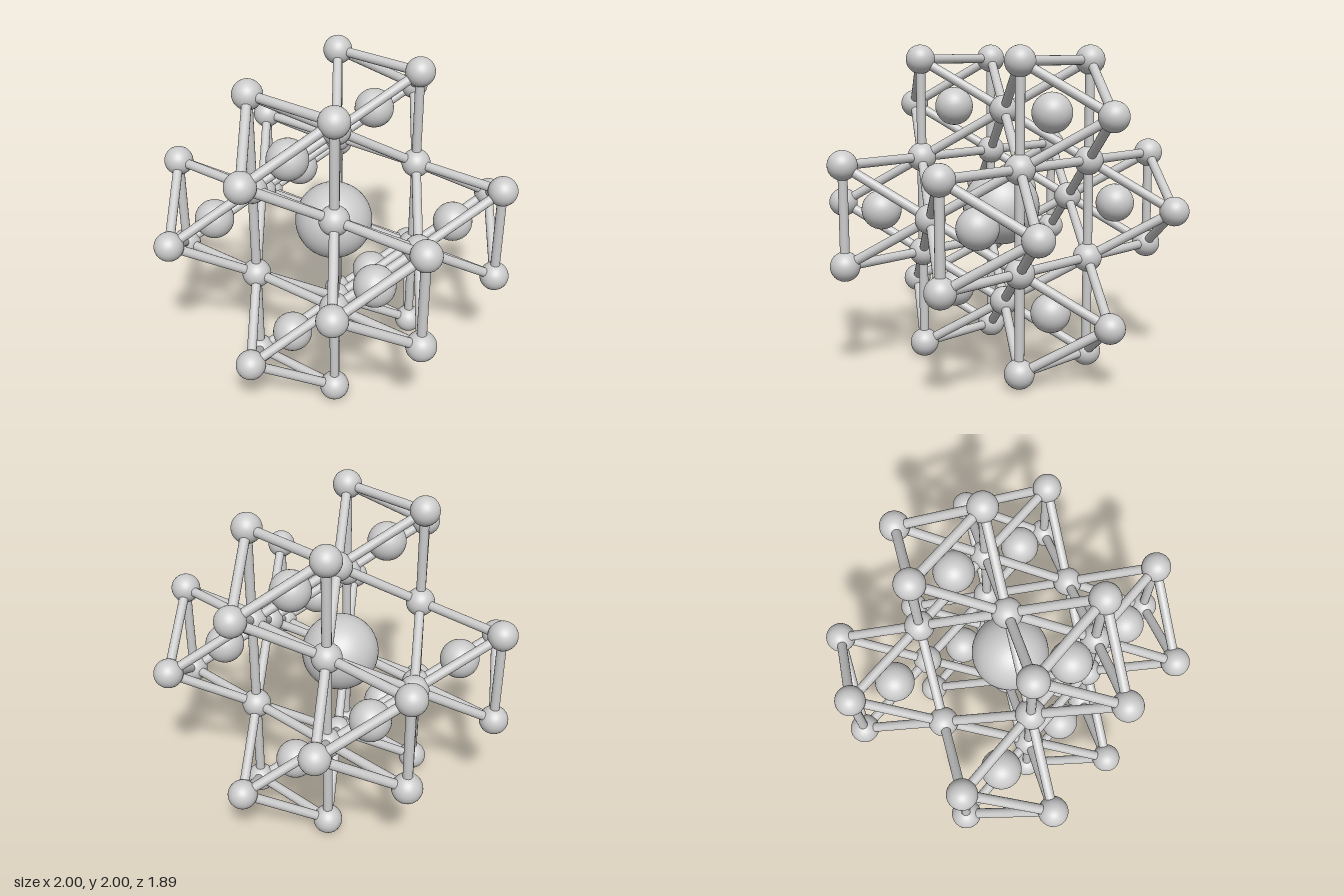
import * as THREE from 'three';

const H = 0.303;   // half the side of an octahedron's middle square
const D = 0.428;   // distance from an octahedron's centre to its tips

export function createModel() {
  const model = new THREE.Group();
  const material = new THREE.MeshStandardMaterial({ color: 0xcccccc });
  const up = new THREE.Vector3(0, 1, 0);

  const ballGeometry = (radius) => new THREE.SphereGeometry(radius, 32, 20).rotateX(Math.PI / 2);
  const cornerGeometry = ballGeometry(0.09);
  const innerGeometry = ballGeometry(0.122);
  const rodGeometry = new THREE.CylinderGeometry(0.029, 0.029, 1, 16, 1, true);

  function addBall(name, geometry, position) {
    const ball = new THREE.Mesh(geometry, material);
    ball.name = name;
    ball.position.copy(position);
    model.add(ball);
  }

  // Corner balls are shared by neighbouring octahedra, so each is added once
  const placed = new Set();
  function addCorner(p) {
    const key = p.toArray().map((v) => Math.round(v * 100)).join();
    if (placed.has(key)) return;
    placed.add(key);
    addBall('cornerBall', cornerGeometry, p);
  }

  function addRod(a, b) {
    const rod = new THREE.Mesh(rodGeometry, material);
    const along = b.clone().sub(a);
    rod.name = 'rod';
    rod.scale.y = along.length();
    rod.position.copy(a).add(b).multiplyScalar(0.5);
    rod.quaternion.setFromUnitVectors(up, along.normalize());
    model.add(rod);
  }

  // Octahedral cage: four corners in a square, a tip in front and one behind
  function addOctahedron(cx, cy, cz) {
    const square = [[-1, -1], [1, -1], [1, 1], [-1, 1]]
      .map(([sx, sy]) => new THREE.Vector3(cx + sx * H, cy + sy * H, cz));
    const tips = [-D, D].map((dz) => new THREE.Vector3(cx, cy, cz + dz));
    [...square, ...tips].forEach(addCorner);
    square.forEach((corner, i) => {
      addRod(corner, square[(i + 1) % 4]);
      tips.forEach((tip) => addRod(corner, tip));
    });
    // Ball inside the cage, slightly off centre
    addBall('innerBall', innerGeometry, new THREE.Vector3(cx, cy, cz + 0.03));
  }

  // Two layers of four cages in a cross
  for (const z of [-D, D]) {
    for (const [x, y] of [[2, 0], [-2, 0], [0, 2], [0, -2]]) {
      addOctahedron(x * H, 1 + y * H, z);
    }
  }

  // Large ball in the middle of the lattice
  addBall('centreBall', new THREE.SphereGeometry(0.24, 40, 28).rotateX(Math.PI / 2),
    new THREE.Vector3(0, 1, 0.025));

  return model;
}
